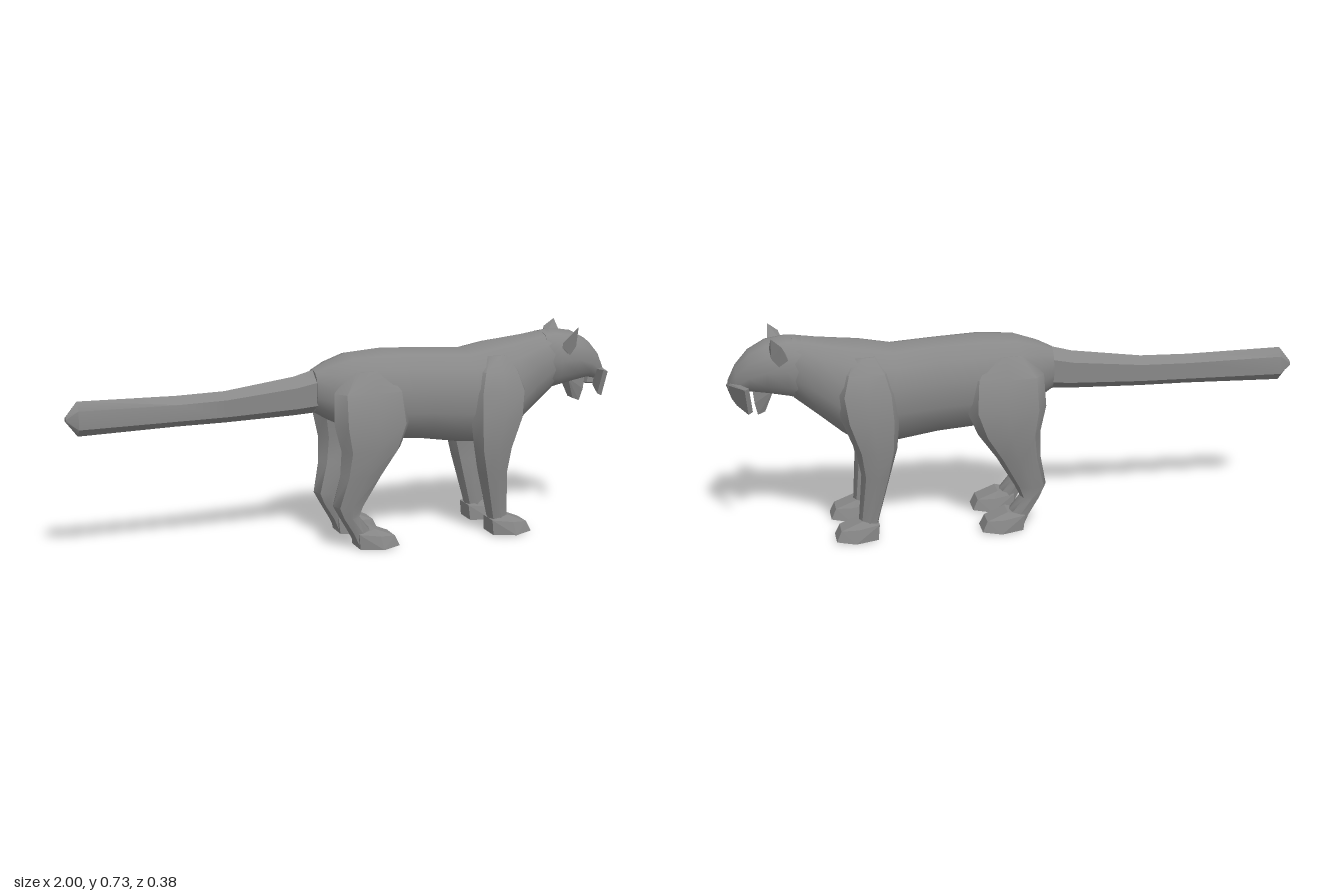
import * as THREE from 'three';
import { toCreasedNormals } from 'three/addons/utils/BufferGeometryUtils.js';
import { ConvexGeometry } from 'three/addons/geometries/ConvexGeometry.js';

const fur = new THREE.MeshStandardMaterial({ color: 0x888888 });
fur.name = 'grey fur';

// Skin a series of rings (arrays of [x, y, z]) and close both ends.
function loft(rings, crease = 0.75) {
  const n = rings[0].length;
  const pos = rings.flat(2);
  const index = [];
  for (let i = 0; i < rings.length - 1; i++) {
    for (let j = 0; j < n; j++) {
      const a = i * n + j, b = i * n + (j + 1) % n;
      index.push(a, b, b + n, a, b + n, a + n);
    }
  }
  [rings[0], rings[rings.length - 1]].forEach((ring, end) => {
    const centre = pos.length / 3;
    const first = end ? (rings.length - 1) * n : 0;
    for (let k = 0; k < 3; k++) pos.push(ring.reduce((s, p) => s + p[k], 0) / n);
    for (let j = 0; j < n; j++) {
      const a = first + j, b = first + (j + 1) % n;
      if (end) index.push(centre, a, b); else index.push(centre, b, a);
    }
  });
  const geometry = new THREE.BufferGeometry();
  geometry.setAttribute('position', new THREE.Float32BufferAttribute(pos, 3));
  geometry.setIndex(index);
  return toCreasedNormals(geometry, crease);
}

// Points of a slightly squared circle.
const round = (n, power) => Array.from({ length: n }, (_, i) => {
  const a = i / n * Math.PI * 2;
  const f = v => Math.sign(v) * Math.abs(v) ** power;
  return [f(Math.cos(a)), f(Math.sin(a))];
});

// Sections along x: [x, bottom, top, half width, height of the widest line]
const along = (rows, n, power = 0.9) => loft(rows.map(([x, lo, hi, w, mid]) =>
  round(n, power).map(([c, s]) => [x, mid + c * (c > 0 ? hi - mid : mid - lo), s * w])));

// Sections from top to foot: [y, back x, front x, inner z, outer z]
const down = (rows, side) => loft(rows.map(([y, x0, x1, z0, z1]) =>
  round(8, 0.8).map(([c, s]) =>
    [(x0 + x1) / 2 + c * (x1 - x0) / 2, y, side * (z0 + z1) / 2 + s * (z1 - z0) / 2])));

// Faceted solid from a few corners, with z flipped for the other side.
const facets = (points, side = 1) =>
  new ConvexGeometry(points.map(([x, y, z]) => new THREE.Vector3(x, y, z * side)));

const TORSO = [
  [-0.13, 0.48, 0.63, 0.055, 0.56],
  [-0.08, 0.45, 0.655, 0.09, 0.55],
  [0.0, 0.41, 0.682, 0.125, 0.53],
  [0.12, 0.365, 0.69, 0.14, 0.52],
  [0.28, 0.35, 0.682, 0.133, 0.51],
  [0.43, 0.325, 0.67, 0.14, 0.5],
  [0.54, 0.32, 0.69, 0.15, 0.5],
  [0.61, 0.365, 0.697, 0.135, 0.52],
  [0.69, 0.43, 0.705, 0.105, 0.57],
  [0.77, 0.495, 0.716, 0.085, 0.61],
];
const HEAD = [
  [0.74, 0.49, 0.713, 0.085, 0.61],
  [0.79, 0.505, 0.717, 0.092, 0.61],
  [0.86, 0.52, 0.705, 0.09, 0.61],
  [0.92, 0.53, 0.672, 0.073, 0.59],
  [0.965, 0.52, 0.622, 0.045, 0.56],
  [0.992, 0.53, 0.565, 0.018, 0.55],
];
const TAIL = [
  [-1.0, 0.515, 0.53, 0.015, 0.52],
  [-0.96, 0.462, 0.582, 0.03, 0.52],
  [-0.62, 0.468, 0.575, 0.036, 0.52],
  [-0.45, 0.468, 0.578, 0.042, 0.525],
  [-0.2, 0.473, 0.61, 0.05, 0.54],
  [-0.05, 0.48, 0.65, 0.06, 0.56],
];
const FRONT_LEG = [
  [0.65, 0.49, 0.58, 0.05, 0.1],
  [0.6, 0.45, 0.61, 0.04, 0.148],
  [0.53, 0.425, 0.635, 0.04, 0.172],
  [0.44, 0.42, 0.62, 0.05, 0.19],
  [0.33, 0.432, 0.575, 0.07, 0.184],
  [0.24, 0.455, 0.557, 0.062, 0.176],
  [0.07, 0.498, 0.568, 0.062, 0.145],
  [0.03, 0.505, 0.57, 0.065, 0.145],
];
const HIND_LEG = [
  [0.63, -0.02, 0.12, 0.04, 0.11],
  [0.56, -0.085, 0.18, 0.04, 0.155],
  [0.45, -0.09, 0.19, 0.05, 0.18],
  [0.36, -0.068, 0.15, 0.065, 0.18],
  [0.27, -0.07, 0.085, 0.06, 0.168],
  [0.16, -0.092, 0.02, 0.056, 0.148],
  [0.12, -0.07, 0.0, 0.062, 0.145],
  [0.06, -0.035, 0.05, 0.062, 0.145],
  [0.02, -0.015, 0.05, 0.065, 0.145],
];
// Paw, with x measured from the heel
const PAW = [
  [0, 0.005, 0.06], [0, 0.005, 0.145], [-0.005, 0.06, 0.065], [-0.005, 0.06, 0.145],
  [0.055, 0.075, 0.068], [0.055, 0.075, 0.142],
  [0.08, 0.003, 0.042], [0.08, 0.003, 0.17], [0.07, 0.05, 0.055], [0.07, 0.05, 0.158],
  [0.145, 0.008, 0.065], [0.145, 0.008, 0.15], [0.128, 0.045, 0.07], [0.128, 0.045, 0.145],
];
const EAR = [
  [0.79, 0.66, 0.065], [0.79, 0.655, 0.1], [0.81, 0.705, 0.108], [0.845, 0.733, 0.1],
  [0.85, 0.69, 0.06], [0.845, 0.66, 0.085], [0.82, 0.63, 0.088],
];
const LIP = [
  [0.998, 0.552, 0], [0.98, 0.5, 0], [0.965, 0.49, 0.045], [0.93, 0.482, 0.128],
  [0.94, 0.575, 0.152], [0.925, 0.58, 0.148], [0.915, 0.49, 0.125],
  [0.955, 0.56, 0.03], [0.95, 0.5, 0.02], [0.985, 0.562, 0.02],
];
const JAW = [-1, 1].flatMap(s => [
  [0.84, 0.535, 0.04 * s], [0.91, 0.535, 0.032 * s], [0.905, 0.49, 0.032 * s],
  [0.87, 0.455, 0.02 * s], [0.895, 0.445, 0.022 * s],
]);

export function createModel() {
  const model = new THREE.Group();
  model.name = 'bigCat';
  const add = (name, geometry, x = 0) => {
    const mesh = new THREE.Mesh(geometry, fur);
    mesh.name = name;
    mesh.position.x = x;
    model.add(mesh);
  };

  // Trunk, head and tail
  add('torso', along(TORSO, 14));
  add('head', along(HEAD, 12, 0.85));
  add('lowerJaw', facets(JAW));
  add('tail', along(TAIL, 6));

  // Paired parts
  for (const [side, label] of [[1, 'right'], [-1, 'left']]) {
    add(label + 'FrontLeg', down(FRONT_LEG, side));
    add(label + 'FrontPaw', facets(PAW, side), 0.505);
    add(label + 'HindLeg', down(HIND_LEG, side));
    add(label + 'HindPaw', facets(PAW, side), -0.005);
    add(label + 'Ear', facets(EAR, side));
    add(label + 'UpperLip', facets(LIP, side));
  }
  return model;
}
